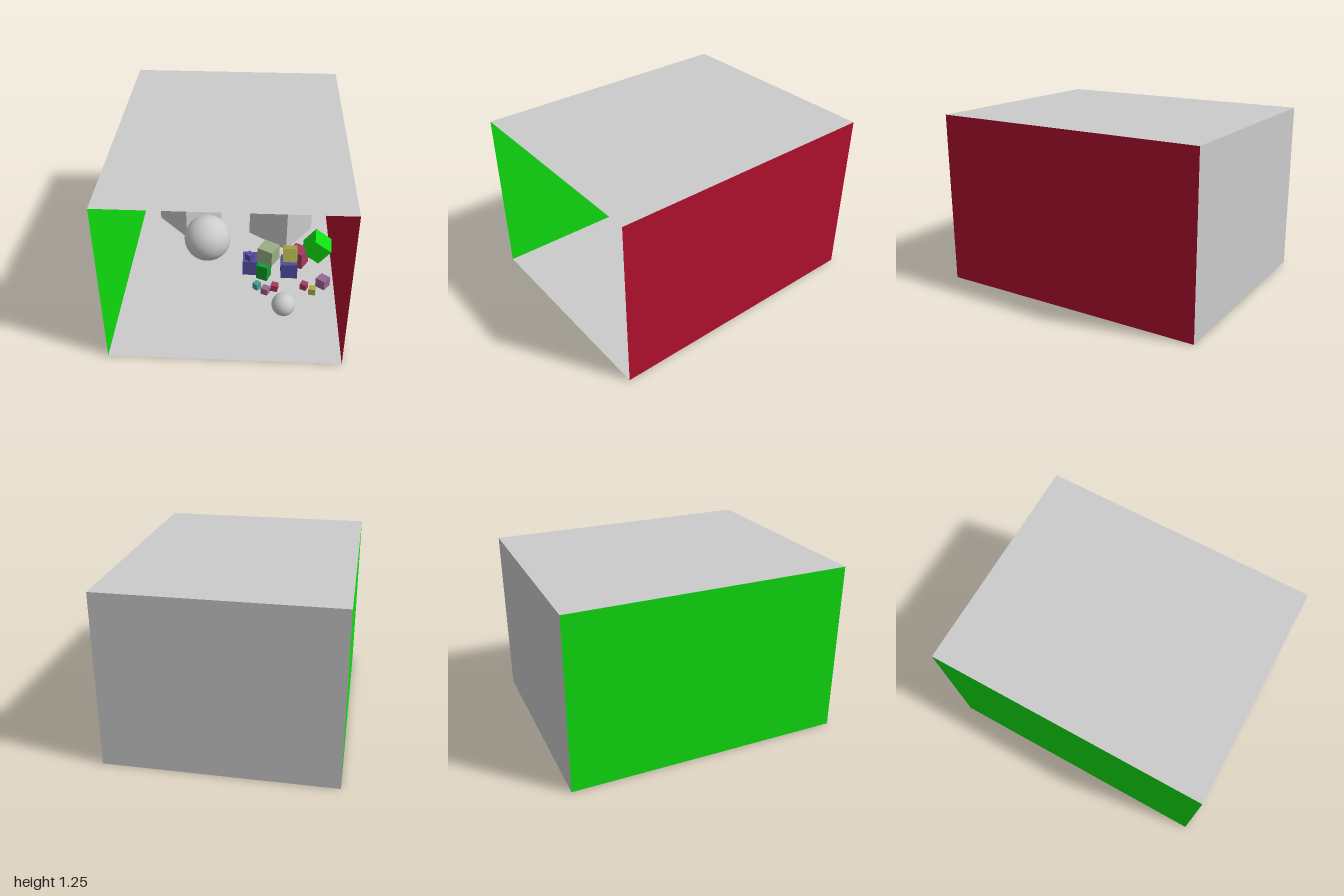
import * as THREE from 'three';

const GREY = 0xcccccc, RED = 0xb20f2e, GREEN = 0x0fdc0f, BLUE = 0x504a9e, OLIVE = 0x9bad84,
  CRIMSON = 0xa83a5c, YELLOW = 0xacac48, MAUVE = 0x966690, TEAL = 0x40a090, LEAF = 0x10a030;

export function createModel() {
  const model = new THREE.Group();
  model.name = 'roomWithBlocks';

  function add(parent, name, geometry, color, position, rotation = [0, 0, 0], side = THREE.FrontSide) {
    const mesh = new THREE.Mesh(geometry, new THREE.MeshStandardMaterial({ color, side }));
    mesh.name = name;
    mesh.position.set(...position);
    mesh.rotation.set(...rotation);
    parent.add(mesh);
    return mesh;
  }
  function group(name) {
    const g = new THREE.Group();
    g.name = name;
    model.add(g);
    return g;
  }

  // Thin room shell, open at the front
  const room = group('room');
  const x0 = -0.81, x1 = 0.802, H = 1.245, W = x1 - x0, D = 2, cx = (x0 + x1) / 2, q = Math.PI / 2;
  const wall = (name, w, h, color, pos, rot) =>
    add(room, name, new THREE.PlaneGeometry(w, h), color, pos, rot, THREE.DoubleSide);
  wall('floor', W, D, GREY, [cx, 0, 0], [-q, 0, 0]);
  wall('ceiling', W, D, GREY, [cx, H, 0], [q, 0, 0]);
  wall('backWall', W, H, GREY, [cx, H / 2, -1], [0, 0, 0]);
  wall('leftWall', D, H, RED, [x1, H / 2, 0], [0, -q, 0]);
  wall('rightWall', D, H, GREEN, [x0, H / 2, 0], [0, q, 0]);

  // Two square pedestals, turned about the vertical
  const pedestals = group('pedestals');
  const pedestal = (name, h, x, z, turn) =>
    add(pedestals, name, new THREE.BoxGeometry(0.38, h, 0.38), GREY, [x, h / 2 + 0.002, z], [0, turn, 0]);
  pedestal('shortPedestal', 0.513, -0.39, -0.63, 0.75);
  pedestal('tallPedestal', 0.773, 0.395, -0.5, 0.953);

  // Balls resting on the floor
  const balls = group('balls');
  for (const [name, r, x, z] of [['largeBall', 0.186, -0.202, -0.124], ['smallBall', 0.087, 0.405, 0.52]])
    add(balls, name, new THREE.SphereGeometry(r, 48, 32), GREY, [x, r + 0.003, z]);

  // Toy cubes: name, colour, width, height, x, bottom, z, turn in degrees
  const cubes = group('toyCubes');
  const list = [
    ['pedestalCube', BLUE, 0.16, 0.16, -0.4, 0.515, -0.63, 0],
    ['towerBlueCube', BLUE, 0.09, 0.09, 0.36, 0.775, -0.5, -6],
    ['towerOliveCube', OLIVE, 0.087, 0.09, 0.471, 0.775, -0.5, -17],
    ['towerTopCube', CRIMSON, 0.092, 0.09, 0.392, 0.865, -0.5, 10],
    ['leftBlueCube', BLUE, 0.13, 0.13, 0.155, 0.002, 0.035, 0],
    ['smallBlueCube', BLUE, 0.053, 0.055, 0.143, 0.132, 0.06, -41],
    ['greenCube', LEAF, 0.092, 0.13, 0.256, 0.002, 0.11, -22],
    ['oliveCube', OLIVE, 0.128, 0.13, 0.29, 0.132, 0.06, -29],
    ['rightBlueCube', BLUE, 0.13, 0.13, 0.455, 0.002, 0.06, 0],
    ['crimsonCube', CRIMSON, 0.12, 0.14, 0.535, 0.002, -0.07, -30],
    ['tealPebble', TEAL, 0.048, 0.055, 0.205, -0.001, 0.25, -40],
    ['mauvePebble', MAUVE, 0.055, 0.055, 0.272, -0.001, 0.3, -25],
    ['crimsonPebble', CRIMSON, 0.052, 0.055, 0.342, -0.001, 0.26, -15],
    ['secondCrimsonPebble', CRIMSON, 0.05, 0.055, 0.57, -0.001, 0.235, -25],
    ['yellowPebble', YELLOW, 0.053, 0.055, 0.63, -0.001, 0.286, -10],
    ['mauveCube', MAUVE, 0.08, 0.08, 0.716, 0.002, 0.2, -38],
  ];
  for (const [name, color, w, h, x, bottom, z, turn] of list)
    add(cubes, name, new THREE.BoxGeometry(w, h, w), color, [x, bottom + h / 2, z],
      [0, THREE.MathUtils.degToRad(turn), 0]);

  // Tumbling cubes: one tipped back on the pile, one leaning through the wall
  add(cubes, 'tippedYellowCube', new THREE.BoxGeometry(0.107, 0.107, 0.107), YELLOW,
    [0.46, 0.197, 0.06], [-0.4, -0.1, 0.05]);
  const leaning = add(cubes, 'leaningGreenCube', new THREE.BoxGeometry(0.162, 0.162, 0.162), GREEN,
    [0.684, 0.138, -0.12]);
  leaning.rotation.set(0.07, -0.08, -0.63, 'YXZ');

  return model;
}
